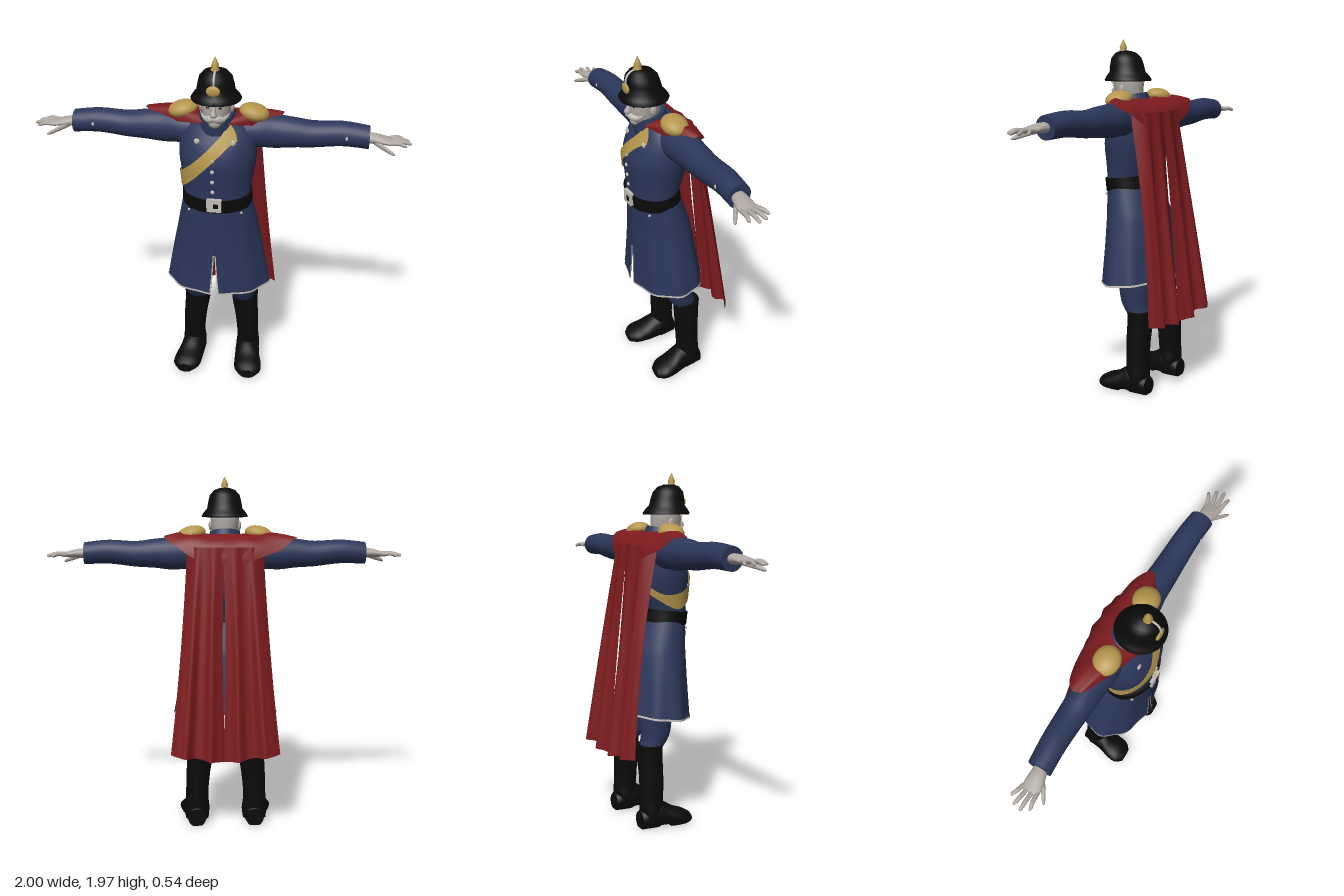
import * as THREE from 'three';

const mat = (name, color, double) => {
  const m = new THREE.MeshStandardMaterial({ color });
  m.name = name;
  if (double) m.side = THREE.DoubleSide;
  return m;
};

// Surface from a rule: fn(u, v) with u, v in 0..1; wrap closes it along u
function grid(nu, nv, fn, wrap = false) {
  const pos = [], idx = [], cols = wrap ? nu : nu + 1;
  for (let j = 0; j <= nv; j++)
    for (let i = 0; i < cols; i++) pos.push(...fn(i / nu, j / nv, j));
  for (let j = 0; j < nv; j++)
    for (let i = 0; i < nu; i++) {
      const a = j * cols + i, b = j * cols + (i + 1) % cols, c = a + cols, d = b + cols;
      idx.push(a, b, c, b, d, c);
    }
  const g = new THREE.BufferGeometry();
  g.setAttribute('position', new THREE.Float32BufferAttribute(pos, 3));
  g.setIndex(idx);
  g.computeVertexNormals();
  return g;
}

// Closed loft through elliptical sections [x, y, z, radius1, radius2], smoothed between them
function loft(axis, secs, n = 24, sub = 4) {
  const rows = [], at = i => secs[Math.min(Math.max(i, 0), secs.length - 1)];
  for (let i = 0; i < secs.length - 1; i++)
    for (let k = 0; k < sub; k++) {
      const t = k / sub;
      rows.push(at(i).map((p1, q) => {
        const p0 = at(i - 1)[q], p2 = at(i + 1)[q], p3 = at(i + 2)[q];
        return p1 + 0.5 * t * (p2 - p0 + t * (2 * p0 - 5 * p1 + 4 * p2 - p3 + t * (3 * (p1 - p2) + p3 - p0)));
      }));
    }
  rows.push(at(secs.length));
  const first = rows[0], last = rows[rows.length - 1], flat = r => [r[0], r[1], r[2], 0, 0];
  rows.unshift(flat(first), first);
  rows.push(last, flat(last));
  return grid(n, rows.length - 1, (u, v, j) => {
    const [x, y, z, a, b] = rows[j], t = u * Math.PI * 2, s = Math.sin(t), c = Math.cos(t);
    if (axis === 'x') return [x, y + a * c, z + b * s];
    if (axis === 'y') return [x + a * s, y, z + b * c];
    return [x + a * c, y + b * s, z];
  }, true);
}

function mirrored(geo) {
  const g = geo.clone().scale(-1, 1, 1), ix = g.index.array;
  for (let i = 0; i < ix.length; i += 3) [ix[i], ix[i + 1]] = [ix[i + 1], ix[i]];
  g.computeVertexNormals();
  return g;
}

// Coat outline by height: [y, half width, front z, back z]
const TORSO = [[1.15, .183, .235, -.03], [1.22, .183, .235, -.03], [1.3, .192, .242, -.06], [1.4, .207, .248, -.08],
  [1.48, .208, .23, -.085], [1.55, .2, .195, -.08], [1.6, .15, .17, -.05], [1.64, .085, .165, 0]];
const SKIRT = [[.6, .297, .235, -.165], [.7, .28, .23, -.145], [.85, .253, .225, -.12], [1, .223, .225, -.095],
  [1.1, .203, .23, -.06], [1.19, .183, .233, -.03]];
function outline(table, y) {
  let i = 0;
  while (i < table.length - 2 && y > table[i + 1][0]) i++;
  const p = table[i], q = table[i + 1], t = THREE.MathUtils.clamp((y - p[0]) / (q[0] - p[0]), 0, 1);
  const [a, f, b] = [1, 2, 3].map(k => p[k] + (q[k] - p[k]) * t);
  return { a, c: (f + b) / 2, d: (f - b) / 2 };
}
function around(table, t, y, off) {
  const o = outline(table, y);
  return [(o.a + off) * Math.sin(t), y, o.c + (o.d + off) * Math.cos(t)];
}
function frontPoint(table, x, y, off = 0) {
  return around(table, Math.asin(x / outline(table, y).a), y, off);
}

export function createModel() {
  const blue = mat('navy cloth', 0x2b375a), lining = mat('navy skirt cloth', 0x2b375a, true);
  const red = mat('red cloth', 0x7d1b1e, true), gold = mat('gold', 0xb5964c, true);
  const black = mat('black leather', 0x0a0a0a), skin = mat('pale skin', 0xaea7a1);
  const silver = mat('silver', 0xc0bcb5, true);
  const model = new THREE.Group();
  const add = (name, geo, m, x = 0, y = 0, z = 0) => {
    const mesh = new THREE.Mesh(geo, m);
    mesh.name = name;
    mesh.position.set(x, y, z);
    model.add(mesh);
    return mesh;
  };
  const pair = (name, geo, m) => {
    add(name + 'Left', geo, m);
    add(name + 'Right', mirrored(geo), m);
  };
  const ball = (x, y, z, rx, ry = rx, rz = rx) =>
    new THREE.SphereGeometry(1, 20, 14).scale(rx, ry, rz).translate(x, y, z);

  // Boots with a flat sole and a raised arch
  pair('bootShaft', loft('y', [[.165, .03, -.045, .066, .055], [.165, .1, -.043, .07, .062], [.165, .17, -.038, .064, .067],
    [.157, .3, -.036, .068, .069], [.143, .42, -.04, .075, .073], [.143, .475, -.04, .078, .076]]), black);
  const foot = loft('z', [[.165, .045, -.11, .05, .052], [.165, .07, -.03, .07, .085], [.17, .06, .03, .073, .08],
    [.18, .045, .09, .08, .058], [.186, .037, .15, .078, .043], [.188, .028, .19, .045, .028]]);
  const fp = foot.attributes.position;
  for (let i = 0; i < fp.count; i++) {
    const z = fp.getZ(i);
    fp.setY(i, Math.max(fp.getY(i), z > -.01 && z < .05 ? .015 : 0));
  }
  foot.computeVertexNormals();
  pair('bootFoot', foot, black);

  // Trousers
  pair('trouserLeg', loft('y', [[.137, .45, -.03, .065, .065], [.135, .52, 0, .075, .082], [.13, .62, .005, .085, .095],
    [.115, .75, .01, .09, .1], [.1, .95, .04, .085, .1]]), blue);

  // Coat body, and a skirt open at the bottom with a slit in front
  add('coatBody', loft('y', TORSO.map(([y, a, f, b]) => [0, y, (f + b) / 2, a, (f - b) / 2]), 40), blue);
  const slit = y => .065 * Math.max(0, (.92 - y) / .3) ** 1.4;
  const skirtPoint = (t, y, off = 0) => {
    const low = Math.max(0, 1 - (y - .61) / .5);
    return around(SKIRT, t, y, off + .006 * low * Math.cos(9 * t));
  };
  const hem = t => .61 + .02 * (1 - Math.cos(t));
  add('coatSkirt', grid(80, 24, (u, v) => {
    const y0 = hem(u * Math.PI * 2), y = y0 + (1.19 - y0) * v, s = slit(y);
    return skirtPoint(s + u * (Math.PI * 2 - 2 * s), y);
  }), lining);
  add('hemTrim', grid(80, 1, (u, v) => {
    const t = .07 + u * (Math.PI * 2 - .14);
    return skirtPoint(t, hem(t) + .011 * v, .003);
  }), silver);
  pair('slitTrim', grid(1, 12, (u, v) => {
    const y = .61 + .25 * v;
    return skirtPoint(slit(y) + .026 * u, y, .003);
  }), silver);

  // Belt and buckle
  add('belt', loft('y', [[0, -.036, .104, .19, .142], [0, .036, .104, .19, .142]], 40, 1), black, 0, 1.195, 0).rotation.x = .12;
  add('buckle', new THREE.BoxGeometry(.08, .072, .02), silver, .003, 1.18, .246);
  add('buckleInset', new THREE.BoxGeometry(.026, .024, .006), black, .012, 1.18, .256);

  // Buttons
  const button = (name, table, x, y, r) => {
    const [px, py, pz] = frontPoint(table, x, y, .004);
    add(name, ball(px, py, pz, r, r, .008), silver);
  };
  for (let i = 0; i < 4; i++) button('frontButton', TORSO, -.006, 1.255 + i * .06, .011);
  for (const s of [-1, 1]) {
    button('collarStud', TORSO, s * .092, 1.522, .016);
    button('skirtButton', SKIRT, s * .14, 1.12, .007);
  }

  // Sash from the left shoulder round the right hip and up the back, narrower behind
  add('sash', grid(60, 3, (u, v) => {
    const t = .58 - u * (Math.PI + 1.16);
    let y = 1.4;
    for (let k = 0; k < 12; k++) y = Math.min(1.575, 1.285 + 1.08 * (outline(TORSO, y).a * Math.sin(t) + .18));
    const width = .09 - .045 * THREE.MathUtils.smoothstep(u, .45, .65);
    return around(TORSO, t, Math.min(1.61, y + (v - .5) * width), .011);
  }), gold);

  // Sleeves, hands and fingers
  pair('sleeve', loft('x', [[.14, 1.535, .05, .09, .085], [.22, 1.545, .05, .09, .085], [.3, 1.542, .045, .09, .08],
    [.4, 1.543, .048, .08, .075], [.5, 1.54, .047, .071, .071], [.65, 1.552, .05, .066, .066], [.785, 1.543, .058, .061, .063]]), blue);
  pair('cuffButton', ball(.67, 1.55, .117, .007, .011, .005), silver);
  pair('palm', loft('x', [[.76, 1.543, .06, .028, .033], [.82, 1.543, .07, .025, .042], [.87, 1.538, .075, .018, .048],
    [.905, 1.534, .075, .012, .045]]), skin);
  [[.037, .96, .012], [.063, .99, .045], [.088, 1, .085], [.111, .975, .122]].forEach(([z, tip, tz]) => {
    const mx = (.89 + tip) / 2;
    pair('finger', loft('x', [[.88, 1.535, z, .012, .012], [mx, 1.54, (z + tz) / 2, .011, .011],
      [tip - .012, 1.531, tz, .009, .009], [tip, 1.53, tz, .004, .004]], 10), skin);
  });
  pair('thumb', loft('x', [[.81, 1.533, .085, .016, .018], [.86, 1.515, .125, .014, .014], [.9, 1.5, .15, .01, .01],
    [.915, 1.495, .158, .004, .004]], 10), skin);

  // Head and face
  add('head', loft('y', [[0, 1.56, .11, .06, .06], [0, 1.61, .13, .055, .07], [0, 1.64, .14, .066, .083],
    [0, 1.69, .14, .077, .085], [0, 1.74, .14, .08, .085], [0, 1.79, .145, .075, .08]]), skin);
  add('chin', ball(0, 1.625, .195, .032, .026, .026), skin);
  add('nose', loft('y', [[0, 1.672, .232, .017, .015], [0, 1.684, .236, .017, .021], [0, 1.71, .227, .01, .015],
    [0, 1.735, .218, .009, .01]], 12), skin);
  pair('ear', ball(.081, 1.695, .13, .011, .028, .018), skin);
  pair('eye', ball(.03, 1.716, .217, .011, .005, .005), black);
  pair('eyebrow', ball(.032, 1.73, .216, .022, .007, .01), silver);
  pair('moustache', loft('x', [[0, 1.664, .23, .015, .013], [.025, 1.659, .227, .018, .013], [.05, 1.655, .207, .014, .011],
    [.068, 1.667, .188, .009, .008], [.08, 1.69, .176, .002, .002]], 10), silver);
  add('collar', loft('y', [[0, -.05, 0, .103, .1], [0, .035, 0, .085, .09]], 32, 1), blue, 0, 1.625, .11).rotation.x = .24;

  // Helmet leaning slightly forward, with spike, badge and ridge
  const shell = new THREE.LatheGeometry([[0, 1.752], [.128, 1.741], [.131, 1.749], [.119, 1.768], [.1, 1.79], [.093, 1.83],
    [.084, 1.865], [.06, 1.892], [.03, 1.903], [0, 1.906]].map(p => new THREE.Vector2(...p)), 36);
  const sp = shell.attributes.position;
  for (let i = 0; i < sp.count; i++) sp.setZ(i, sp.getZ(i) + .143 + (sp.getY(i) - 1.745) * .1);
  shell.computeVertexNormals();
  add('helmet', shell, black);
  add('helmetSpike', new THREE.LatheGeometry([[.022, 0], [.024, .012], [.017, .018], [.021, .028], [.012, .052], [0, .078]]
    .map(p => new THREE.Vector2(...p)), 16), gold, 0, 1.892, .176);
  add('helmetBadge', ball(0, 1.811, .244, .036, .028, .013), gold);
  add('helmetRidge', new THREE.TubeGeometry(new THREE.CatmullRomCurve3([[1.903, .185], [1.89, .222], [1.865, .241], [1.83, .246]]
    .map(([y, z]) => new THREE.Vector3(.003, y, z))), 16, .006, 8), silver);

  // Epaulettes
  pair('epaulette', ball(0, 0, 0, .08, .046, .07).rotateZ(-.22).translate(.188, 1.649, .068), gold);

  // Mantle draped round the neck and over the shoulders
  add('capeMantle', grid(60, 12, (u, v) => {
    const p = (u - .5) * 4.9, s = Math.sin(p), c = Math.cos(p), b = Math.sin(Math.PI * v);
    const back = Math.max(0, c) ** 2, front = Math.max(0, -c) ** 2;
    const inner = [.1 * s, 1.65 - .06 * front, .1 - .1 * c];
    const outer = [(s > 0 ? .34 : .4) * s, 1.635 - .15 * back - .08 * front, .012 - .118 * c];
    const q = inner.map((k, i) => k + (outer[i] - k) * v);
    return [q[0], q[1] + (.018 - .03 * front) * b + .005 * v * Math.sin(9 * p), q[2] - .03 * b * Math.max(0, c)];
  }), red);

  // Cape: two halves with folds, parted by a narrow slit
  for (const s of [-1, 1])
    add(s > 0 ? 'capeLeft' : 'capeRight', grid(40, 40, (u, v) => {
      const gap = .008 * Math.sin(Math.PI * THREE.MathUtils.clamp((v - .1) / .76, 0, 1));
      const wide = .21 + .055 * v + .04 * v * v - (s < 0 ? .006 * v : 0);
      const fold = (.005 + .018 * v) * -Math.cos(u * 12.5) + .005 * v * Math.sin(u * 29);
      const x = .012 + s * gap + s * u * (wide - s * .01 - gap);
      const y = 1.58 - (1.17 - .04 * u) * v;
      return [x, y, -.1 - .135 * v - fold + .07 * u ** 4 * (1 - v) ** 2];
    }), red);

  return model;
}
